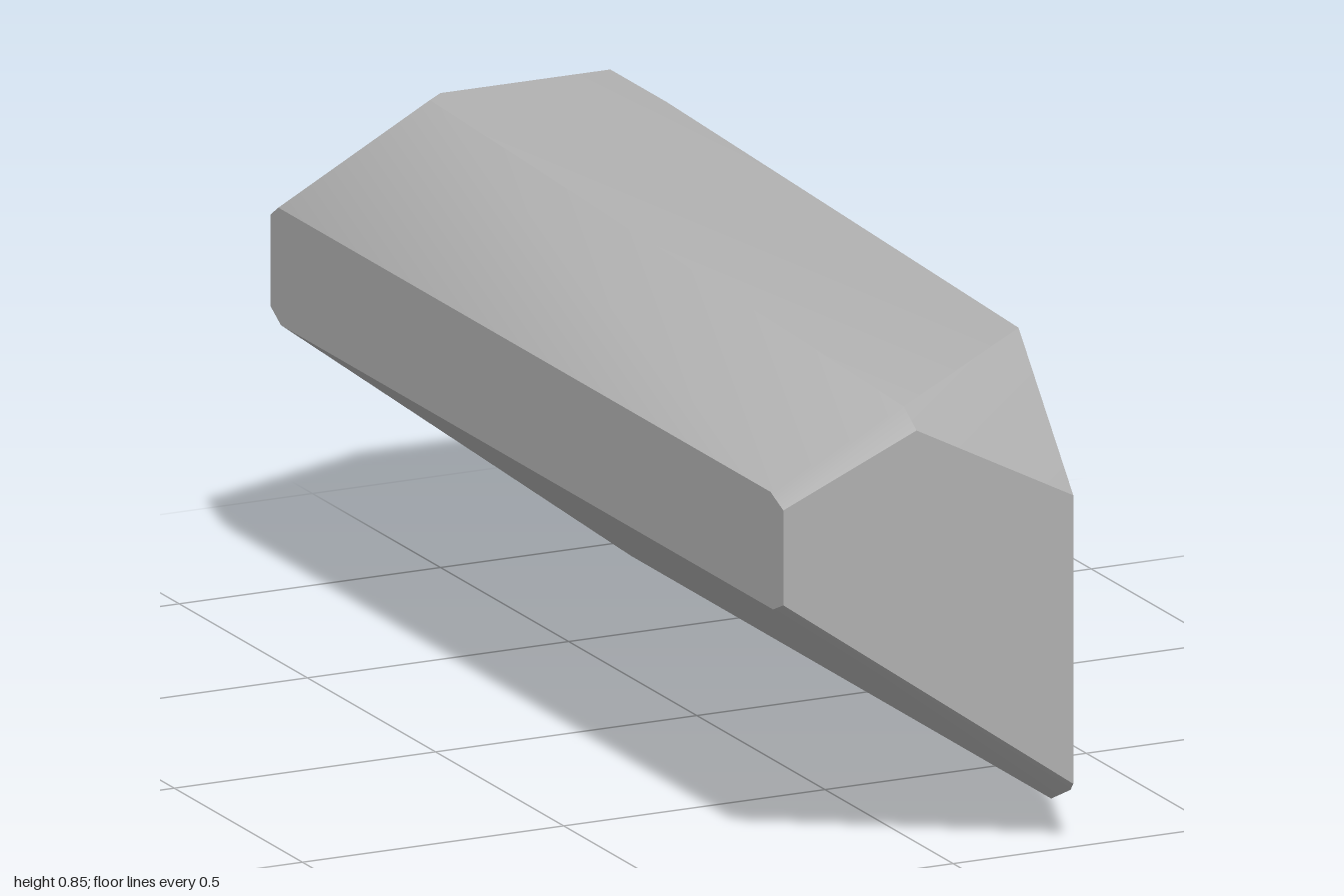
import * as THREE from 'three';
import { ConvexGeometry } from 'three/addons/geometries/ConvexGeometry.js';
import { toCreasedNormals } from 'three/addons/utils/BufferGeometryUtils.js';

const points = (list) => list.map((p) => new THREE.Vector3(...p));

export function createModel() {
  const group = new THREE.Group();
  group.name = 'stoneBlock';
  const stone = new THREE.MeshStandardMaterial({ color: 0xb0b0b0 });
  stone.name = 'stone grey';

  // Front end: narrow edge on one side, chamfered corners on the other
  const frontEnd = points([
    [-0.325, 0.505, 1], [-0.325, 0.487, 0.96],
    [-0.325, 0.675, 1], [-0.325, 0.695, 0.95],
    [-0.07, 0.785, 1], [-0.07, 0.815, 0.95],
    [0.23, 0.63, 1], [0.23, 0.113, 1], [0.232, 0.098, 0.985],
    [0.265, 0.85, 0.715],
    [0.325, 0.49, 0.72], [0.325, 0, 0.72],
  ]);

  // Back end: flat cut with small worn bevels
  const backEnd = points([
    [-0.325, 0.51, -1], [-0.325, 0.487, -0.96],
    [-0.325, 0.675, -1], [-0.325, 0.695, -0.97],
    [0, 0.85, -1], [-0.035, 0.85, -0.97],
    [0.325, 0.85, -0.78], [0.325, 0.85, -1],
    [0.325, 0.1, -1], [0.325, 0.025, -0.99], [0.325, 0, -0.92],
  ]);

  // Solid hull with soft shading over the shallow bevels
  const hull = new ConvexGeometry([...frontEnd, ...backEnd]);
  const block = new THREE.Mesh(toCreasedNormals(hull, THREE.MathUtils.degToRad(32)), stone);
  block.name = 'block';
  group.add(block);
  return group;
}
